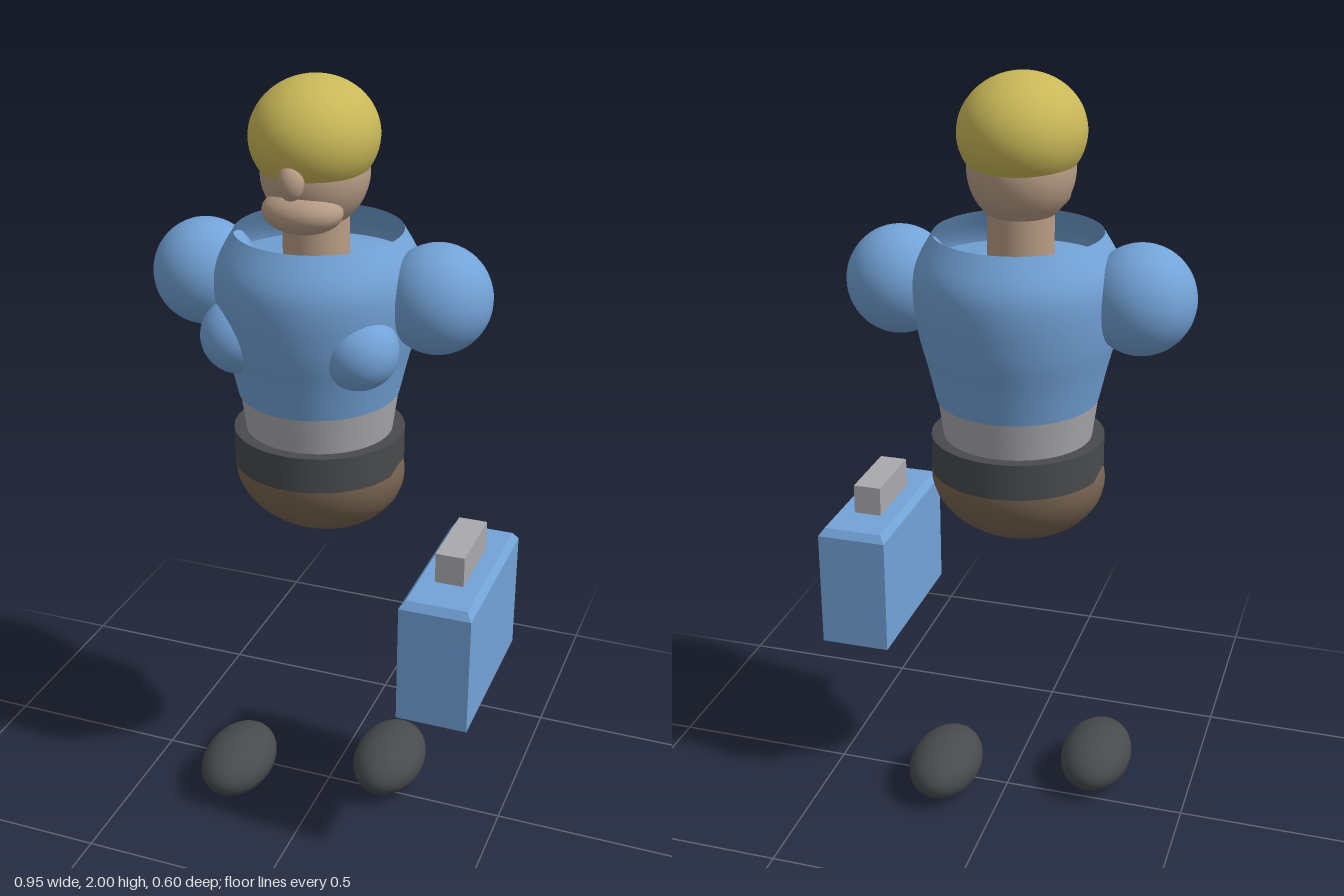
import * as THREE from 'three';

const material = (name, color, side = THREE.FrontSide) => {
  const m = new THREE.MeshStandardMaterial({ color, side });
  m.name = name;
  return m;
};

export function createModel() {
  const blue = material('blue', 0x73a3d8, THREE.DoubleSide);
  const yellow = material('yellow', 0xc9b858, THREE.DoubleSide);
  const skin = material('skin', 0xb89d86);
  const brown = material('brown', 0x7a6552);
  const charcoal = material('charcoal', 0x484a4c);
  const grey = material('grey', 0xaaaaae);

  const model = new THREE.Group();
  model.name = 'figure';
  const CX = -0.035, CZ = -0.022; // body axis

  const add = (name, geometry, mat, x, y, z) => {
    const mesh = new THREE.Mesh(geometry, mat);
    mesh.name = name;
    mesh.position.set(x, y, z);
    model.add(mesh);
    return mesh;
  };
  const ellipsoid = (name, mat, x, y, z, rx, ry, rz) =>
    add(name, new THREE.SphereGeometry(1, 40, 28).scale(rx, ry, rz), mat, x, y, z);

  // Open-necked shirt
  const profile = new THREE.SplineCurve([
    [0.21, 1.205], [0.23, 1.29], [0.253, 1.38], [0.265, 1.48], [0.256, 1.55], [0.214, 1.625],
  ].map(([r, y]) => new THREE.Vector2(r, y))).getPoints(24);
  add('shirt', new THREE.LatheGeometry(profile, 56).scale(0.97, 1, 1.035), blue, CX, 0, CZ);
  // Shallow floor inside the neck opening
  const floor = [[0.25, 1.535], [0.17, 1.55], [0.08, 1.56], [0, 1.56]];
  add('shirtInside', new THREE.LatheGeometry(floor.map(([r, y]) => new THREE.Vector2(r, y)), 48)
    .scale(0.97, 1, 1.03), blue, CX, 0, CZ);

  // Shoulders, chest and feet
  for (const s of [-1, 1]) {
    const side = s > 0 ? 'left' : 'right';
    ellipsoid(side + 'Shoulder', blue, CX + s * 0.307, 1.481, CZ, 0.134, 0.136, 0.134);
    ellipsoid(side + 'Chest', blue, CX + s * 0.155, 1.377, 0.12, 0.098, 0.096, 0.098);
    ellipsoid(side + 'Eye', charcoal, CX + s * 0.06, 1.795, 0.122, 0.016, 0.012, 0.016);
    ellipsoid(side + 'Foot', charcoal, CX + s * 0.199, 0.083, s > 0 ? -0.052 : 0.103, 0.097, 0.079, 0.147);
  }

  // Waist, belt and hips
  add('waist', new THREE.CylinderGeometry(0.203, 0.18, 0.17, 48), grey, CX, 1.125, CZ);
  add('belt', new THREE.CylinderGeometry(0.22, 0.22, 0.093, 48), charcoal, CX, 1.057, CZ);
  ellipsoid('hips', brown, CX, 0.99, CZ, 0.226, 0.17, 0.176);

  // Neck and head
  add('neck', new THREE.CylinderGeometry(0.082, 0.082, 0.22, 40), skin, CX, 1.62, -0.002);
  ellipsoid('head', skin, CX, 1.775, 0.002, 0.132, 0.14, 0.14);
  ellipsoid('jaw', skin, CX, 1.697, 0.088, 0.1, 0.054, 0.076);
  ellipsoid('nose', skin, CX, 1.782, 0.16, 0.032, 0.042, 0.03);

  // Rounded hair cap, cut level at the bottom
  const cut = Math.acos(-0.56);
  add('hair', new THREE.SphereGeometry(1, 48, 28, 0, Math.PI * 2, 0, cut).scale(0.155, 0.14, 0.174),
    yellow, CX, 1.86, 0.006);
  add('hairUnderside', new THREE.CircleGeometry(Math.sin(cut), 48).rotateX(Math.PI / 2).scale(0.155, 1, 0.174),
    yellow, CX, 1.86 - 0.56 * 0.14, 0.006);

  // Case with a bevelled lid edge
  const box = new THREE.BoxGeometry(0.184, 0.336, 0.455, 1, 2, 1);
  const p = box.attributes.position;
  for (let i = 0; i < p.count; i++) {
    const y = p.getY(i);
    if (Math.abs(y) < 0.01) p.setY(i, 0.148);
    else if (y > 0) {
      p.setX(i, p.getX(i) - Math.sign(p.getX(i)) * 0.014);
      p.setZ(i, p.getZ(i) - Math.sign(p.getZ(i)) * 0.014);
    }
  }
  const caseGeometry = box.toNonIndexed();
  caseGeometry.computeVertexNormals();
  add('case', caseGeometry, blue, 0.383, 0.648, 0.073);
  add('caseHandle', new THREE.BoxGeometry(0.074, 0.085, 0.206), grey, 0.382, 0.853, 0.073);

  return model;
}
